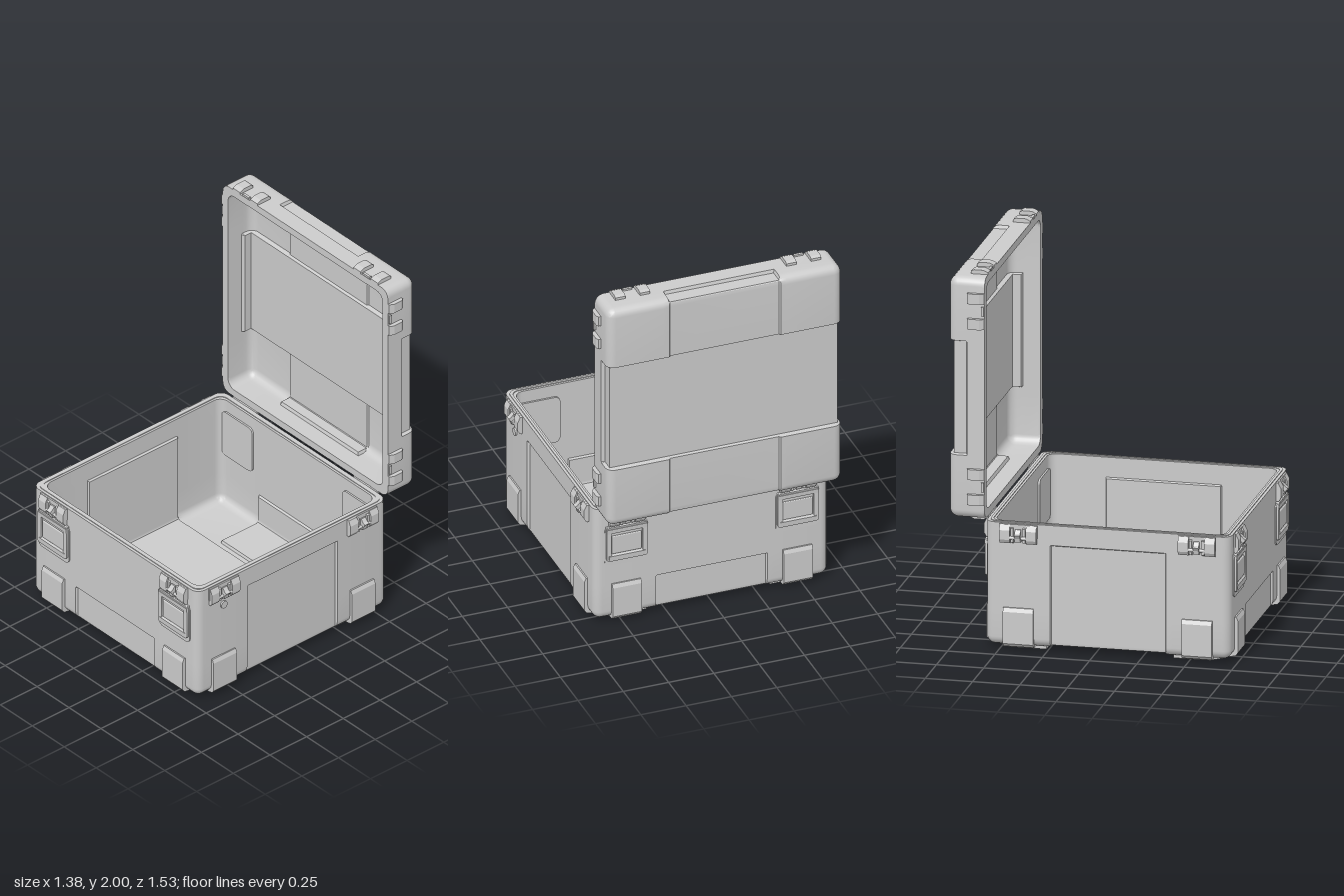
import * as THREE from 'three';
import { toCreasedNormals } from 'three/addons/utils/BufferGeometryUtils.js';
import { RoundedBoxGeometry } from 'three/addons/geometries/RoundedBoxGeometry.js';

const mat = new THREE.MeshStandardMaterial({ color: 0xcccccc });
const H = 0.647;      // half width of the square case
const IN = 0.606;     // half width of the cavity
const R = 0.045;      // edge radius
const SPOT = 0.472;   // offset of fittings from the middle of a wall
const clamp = THREE.MathUtils.clamp;

function add(parent, name, geometry, x = 0, y = 0, z = 0) {
  const mesh = new THREE.Mesh(geometry, mat);
  mesh.name = name;
  mesh.position.set(x, y, z);
  parent.add(mesh);
  return mesh;
}

// Open-topped rounded tray skin; `relief` presses panels into it.
function skin(half, y0, y1, ySteps, relief, inward) {
  const round = [15, 30, 45].map(a => R * Math.tan(a * Math.PI / 180));
  const pos = [0.301, 0.307, 0.34, 0.346, half - R, ...round.map(t => half - R + t)];
  const xs = [...pos.map(v => -v).reverse(), ...pos];
  const ys = [...round.map(t => y0 + R - t).reverse(), y0 + R, ...ySteps, y1].sort((a, b) => a - b);
  const n = xs.length - 1, m = ys.length - 1;
  const g = new THREE.BoxGeometry(2, 2, 2, n, m, n);
  const top = g.groups[2];
  const index = [...g.index.array];
  index.splice(top.start, top.count);
  if (inward) {
    for (let i = 0; i < index.length; i += 3) [index[i], index[i + 1]] = [index[i + 1], index[i]];
  }
  g.setIndex(index);
  g.clearGroups();
  const P = g.attributes.position;
  const p = new THREE.Vector3(), c = new THREE.Vector3();
  const pick = (list, t) => list[Math.round((t + 1) / 2 * (list.length - 1))];
  for (let i = 0; i < P.count; i++) {
    p.set(pick(xs, P.getX(i)), pick(ys, P.getY(i)), pick(xs, P.getZ(i)));
    const grid = p.clone();
    const k = half - R;
    c.set(clamp(p.x, -k, k), Math.max(p.y, y0 + R), clamp(p.z, -k, k));
    p.sub(c).setLength(R).add(c);
    relief(p, grid, half, y0);
    P.setXYZ(i, p.x, p.y, p.z);
  }
  return toCreasedNormals(g, 0.5);
}

// Pressed panels of the base: a band across, and a scoop at front and back.
function baseRelief(p, g, half, y0) {
  const w = half - 0.012;
  if (Math.abs(g.z) < 0.304) {
    if (g.y < 0.57) p.x = clamp(p.x, -w, w);
    p.y = Math.max(p.y, y0 + 0.015);
  } else if (Math.abs(g.x) < 0.304 && Math.abs(g.z) > 0.343) {
    if (g.y < 0.22) p.z = clamp(p.z, -w, w);
    p.y = Math.max(p.y, y0 + 0.015);
  }
}

// Pressed panels of the lid: a deep band and two shallower tiles.
function lidRelief(p, g, half, y0) {
  const w = half - 0.018;
  if (Math.abs(g.z) < 0.304) {
    if (g.y < 0.094) p.x = clamp(p.x, -w, w);
    p.y = Math.max(p.y, y0 + 0.025);
  } else if (Math.abs(g.x) < 0.304) {
    if (g.y < 0.094) p.z = clamp(p.z, -w, w);
    p.y = Math.max(p.y, y0 + 0.01);
  }
}

function roundRect(w, h, r, S = THREE.Shape) {
  const s = new S();
  const x = w / 2 - r, y = h / 2 - r;
  s.absarc(x, y, r, 0, Math.PI / 2);
  s.absarc(-x, y, r, Math.PI / 2, Math.PI);
  s.absarc(-x, -y, r, Math.PI, Math.PI * 1.5);
  s.absarc(x, -y, r, Math.PI * 1.5, Math.PI * 2);
  s.closePath();
  return s;
}

function plate(w, h, r, depth, hole) {
  const s = roundRect(w, h, r);
  if (hole) s.holes.push(roundRect(...hole, THREE.Path));
  return toCreasedNormals(new THREE.ExtrudeGeometry(s, { depth, bevelEnabled: false, curveSegments: 6 }), 0.5);
}

// Flat square ring lying at the mouth of a tray.
function ring(outer, inner, r, depth) {
  return plate(outer * 2, outer * 2, r, depth, [inner * 2, inner * 2, r]).rotateX(-Math.PI / 2);
}

// Bar whose side profile is given as [outward, up] points.
function bar(points, width) {
  const s = new THREE.Shape(points.map(q => new THREE.Vector2(...q)));
  const g = new THREE.ExtrudeGeometry(s, { depth: width, bevelEnabled: false });
  return g.translate(0, 0, -width / 2).rotateY(-Math.PI / 2);
}

// Calls make(group, wall) at the two fitting spots of each of the four walls.
function eachSpot(parent, name, make) {
  for (let wall = 0; wall < 4; wall++) {
    for (const side of [-1, 1]) {
      const arm = new THREE.Group();
      arm.rotation.y = wall * Math.PI / 2;
      const spot = new THREE.Group();
      spot.name = name;
      spot.position.set(side * SPOT, 0, H);
      arm.add(spot);
      parent.add(arm);
      make(spot, wall);
    }
  }
}

function latchBracket(spot) {
  const ear = [[-0.01, 0.575], [0.014, 0.575], [0.026, 0.595], [0.026, 0.645], [0.012, 0.674], [-0.01, 0.674]];
  for (const s of [-1, 1]) {
    add(spot, 'bracketEar', bar(ear, 0.055), s * 0.07);
    add(spot, 'bracketRib', bar([[-0.01, 0.57], [0.018, 0.58], [0.018, 0.655], [-0.01, 0.665]], 0.014), s * 0.032);
  }
  add(spot, 'bracketBack', new THREE.BoxGeometry(0.2, 0.07, 0.016), 0, 0.64, 0);
  add(spot, 'latchHook', bar([[-0.01, 0.58], [0.025, 0.585], [0.03, 0.605], [0.044, 0.625], [0.03, 0.632], [0.015, 0.65], [-0.01, 0.65]], 0.03));
  const pin = add(spot, 'latchPin', new THREE.CylinderGeometry(0.009, 0.009, 0.1, 12), 0, 0.605, 0.017);
  pin.rotation.z = Math.PI / 2;
}

function latchPlate(spot) {
  add(spot, 'latchPocket', plate(0.24, 0.23, 0.03, 0.012), 0, 0.455, -0.006);
  add(spot, 'latchFrame', plate(0.225, 0.2, 0.015, 0.018, [0.172, 0.145, 0.008]), 0, 0.47, 0);
  add(spot, 'latchHandle', new RoundedBoxGeometry(0.165, 0.105, 0.012, 2, 0.005), 0, 0.462, 0.008);
  add(spot, 'latchGrip', bar([[0, 0.365], [0.018, 0.37], [0.02, 0.4], [0.01, 0.412], [0, 0.412]], 0.2));
  add(spot, 'latchTopBar', bar([[0, 0.53], [0.018, 0.535], [0.02, 0.56], [0, 0.572]], 0.225));
  // reinforcement on the inside of the wall
  add(spot, 'innerLatchPanel', plate(0.24, 0.27, 0.03, 0.02), 0, 0.475, IN - H - 0.01);
}

function buildBase() {
  const base = new THREE.Group();
  base.name = 'base';
  const steps = [0.217, 0.223, 0.567, 0.573];
  add(base, 'baseOuterShell', skin(H, 0.02, 0.67, steps, baseRelief, false));
  add(base, 'baseInnerShell', skin(IN, 0.045, 0.672, steps, baseRelief, true));
  add(base, 'baseRim', ring(H, IN, 0.05, 0.012), 0, 0.668, 0);
  add(base, 'sealLip', ring(0.632, 0.618, 0.045, 0.005), 0, 0.679, 0);

  eachSpot(base, 'baseFitting', (spot, wall) => {
    latchBracket(spot);
    add(spot, 'cornerGuard', bar([[-0.03, 0.012], [0.004, 0.018], [0.018, 0.035], [0.018, 0.205], [0.008, 0.226], [-0.03, 0.226]], 0.16));
    if (wall % 2 === 0) latchPlate(spot);
  });

  // feet with a cut outer corner
  for (const sx of [-1, 1]) for (const sz of [-1, 1]) {
    const pts = [[0.34, 0.335], [0.6, 0.335], [0.6, 0.53], [0.54, 0.595], [0.34, 0.595]]
      .map(([x, z]) => new THREE.Vector2(x * sx, z * sz));
    const g = new THREE.ExtrudeGeometry(new THREE.Shape(pts), { depth: 0.026, bevelEnabled: false });
    add(base, 'foot', g.rotateX(-Math.PI / 2));
  }

  // pressure valve on the left wall
  const valve = add(base, 'pressureValve', new THREE.CylinderGeometry(0.021, 0.021, 0.02, 20), H, 0.535, 0.47);
  valve.rotation.z = Math.PI / 2;
  return base;
}

function buildLid() {
  const lid = new THREE.Group();
  lid.name = 'lid';
  const steps = [0.091, 0.097];
  add(lid, 'lidOuterShell', skin(H, 0, 0.18, steps, lidRelief, false));
  add(lid, 'lidInnerShell', skin(IN, 0.022, 0.182, steps, lidRelief, true));
  add(lid, 'lidRim', ring(H, IN, 0.05, 0.012), 0, 0.178, 0);

  eachSpot(lid, 'lidFitting', spot => {
    const rib = [[-0.01, 0.1], [0.014, 0.1], [0.022, 0.115], [0.022, 0.165], [0.01, 0.19], [-0.01, 0.19]];
    for (const s of [-1, 1]) add(spot, 'lidRib', bar(rib, 0.056), s * 0.068);
    add(spot, 'lidCatch', new THREE.BoxGeometry(0.05, 0.015, 0.02), 0, 0.18, 0);
  });
  return lid;
}

export function createModel() {
  const model = new THREE.Group();
  model.name = 'transitCase';

  const base = buildBase();
  base.position.z = 0.073;

  // lid stands upright behind the base, its mouth facing the front
  const lid = buildLid();
  lid.rotation.x = Math.PI / 2;
  lid.position.set(0, 1.333, -0.769);

  model.add(base, lid);

  for (const s of [-1, 1]) {
    const pin = add(model, 'hingePin', new THREE.CylinderGeometry(0.008, 0.008, 0.18, 12), s * SPOT, 0.678, -0.584);
    pin.rotation.z = Math.PI / 2;
  }
  return model;
}
